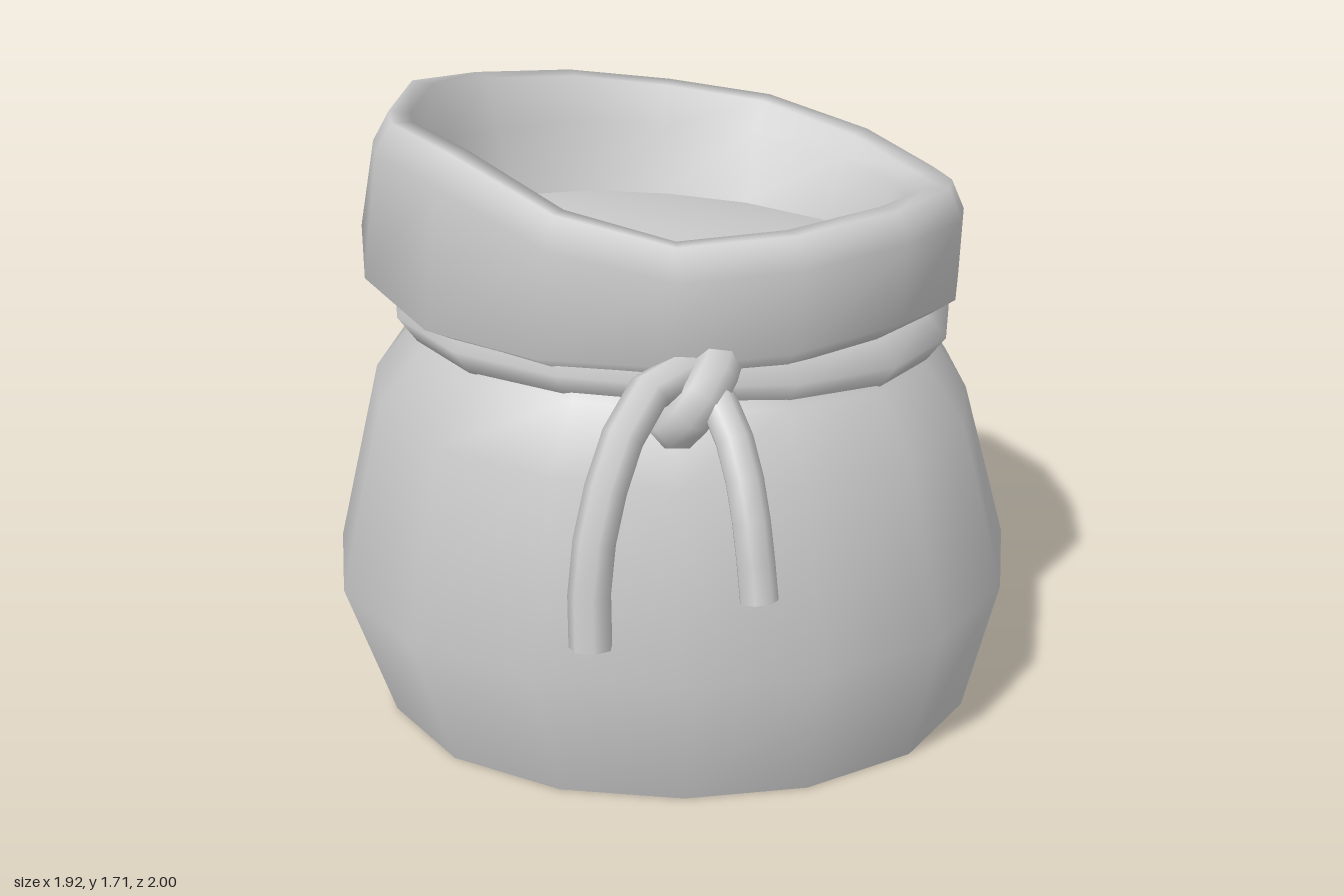
import * as THREE from 'three';

const SIDES = 16;
const mat = new THREE.MeshStandardMaterial({ color: 0xcccccc });
const matDouble = new THREE.MeshStandardMaterial({ color: 0xcccccc, side: THREE.DoubleSide });

// Around the sack, starting at the back and turning towards +x:
// fullness of the outline, height of the cuff's rim and of its hem.
const FULL = [1, 1.03, 1.08, 1.06, 1, 1.02, 1.035, 1.02, 1.005, 1.02, 1.04, 1.03, 1, 1.03, 1.05, 1.02];
const RIM = [1.57, 1.53, 1.46, 1.42, 1.47, 1.53, 1.55, 1.535, 1.52, 1.59, 1.705, 1.715, 1.67, 1.68, 1.64, 1.61];
const HEM = [1.16, 1.14, 1.13, 1.14, 1.16, 1.19, 1.22, 1.20, 1.185, 1.19, 1.21, 1.26, 1.31, 1.29, 1.24, 1.19];

// Point on an oval ring.
function ringPoint(i, rx, rz, y, cx = 0, cz = -0.08) {
  const a = (i / SIDES) * Math.PI * 2;
  return new THREE.Vector3(cx + Math.sin(a) * rx * FULL[i], y, cz - Math.cos(a) * rz * FULL[i]);
}

// Skin over closed rings of points, with smooth normals.
function loft(rings, closeEnd) {
  const points = rings.flat();
  const index = [];
  for (let r = 0; r < rings.length - 1; r++) {
    for (let i = 0; i < SIDES; i++) {
      const j = (i + 1) % SIDES;
      const a = r * SIDES + i, b = r * SIDES + j;
      index.push(a, a + SIDES, b, b, a + SIDES, b + SIDES);
    }
  }
  if (closeEnd) {
    const start = (rings.length - 1) * SIDES;
    points.push(closeEnd);
    for (let i = 0; i < SIDES; i++) index.push(start + i, points.length - 1, start + (i + 1) % SIDES);
  }
  const geo = new THREE.BufferGeometry().setFromPoints(points);
  geo.setIndex(index);
  geo.computeVertexNormals();
  return geo;
}

function ring(fn) {
  return Array.from({ length: SIDES }, (_, i) => fn(i));
}

// The neck leans down towards +x and the back.
const lean = (p) => -0.045 * p.x + 0.03 * (p.z + 0.08);

export function createModel() {
  const model = new THREE.Group();
  const add = (name, geo, material = mat) => {
    const mesh = new THREE.Mesh(geo, material);
    mesh.name = name;
    model.add(mesh);
    return mesh;
  };

  // Bulging sack: [y, rx, rz, centre x, lean amount]
  const sack = [
    [0, 0.85, 0.80, 0.02, 0],
    [0.4, 0.96, 0.92, 0, 0],
    [0.89, 0.835, 0.825, 0, 1],
    [1.06, 0.71, 0.73, 0.01, 1],
    [1.14, 0.66, 0.67, 0, 1],
    [1.22, 0.66, 0.66, 0, 1],
  ].map(([y, rx, rz, cx, k]) => ring((i) => {
    const p = ringPoint(i, rx, rz, y, cx);
    p.y += k * lean(p);
    return p;
  }));
  add('sackBody', loft(sack), matDouble);

  // Flat base with a sharp edge
  const base = new THREE.Shape(sack[0].map((p) => new THREE.Vector2(p.x, p.z)));
  add('sackBase', new THREE.ShapeGeometry(base).rotateX(Math.PI / 2));

  // Filling inside the mouth: domed and tilted down towards +x
  const fillRing = (r, y) => ring((i) => {
    const p = ringPoint(i, r, r * 0.925, y, -0.01, -0.105);
    p.y -= 0.09 * p.x;
    return p;
  });
  const fillEdge = fillRing(0.6, 1.25);
  add('filling', loft([fillEdge, fillRing(0.35, 1.305)], new THREE.Vector3(-0.01, 1.325, -0.105)), matDouble);

  // Folded cuff: hem tucked under, outer wall, rim, inner wall
  const cx = -0.03, cz = -0.1;
  const cuff = [
    ring((i) => ringPoint(i, 0.66, 0.67, HEM[i] - 0.02)),
    ring((i) => ringPoint(i, 0.71, 0.71, HEM[i] - 0.03, 0, -0.09)),
    ring((i) => ringPoint(i, 0.83, 0.77, HEM[i] + 0.025, cx, cz)),
    ring((i) => ringPoint(i, 0.81, 0.765, RIM[i] - 0.09, -0.005, -0.09)),
    ring((i) => ringPoint(i, 0.77, 0.735, RIM[i] - 0.01, 0, cz)),
    ring((i) => ringPoint(i, 0.71, 0.67, RIM[i] - 0.015, 0, cz)),
    ring((i) => ringPoint(i, 0.67, 0.63, RIM[i] * 0.5 + 0.66, -0.01, cz)),
    fillEdge,
  ];
  add('foldedCuff', loft(cuff), matDouble);

  // Cord around the neck, with a pointed outer ridge
  const section = [[0.63, 0.08], [0.63, -0.085], [0.725, -0.07], [0.775, 0], [0.705, 0.08], [0.63, 0.08]];
  const cord = section.map(([r, h]) => ring((i) => {
    const p = ringPoint(i, r, r - 0.025, 1.135 + h);
    p.y += lean(p);
    return p;
  }));
  add('neckCord', loft(cord), matDouble);

  // Knot and hanging cord ends, capped at both ends
  const strand = (name, pts, radius, segments) => {
    const curve = new THREE.CatmullRomCurve3(pts.map((p) => new THREE.Vector3(...p)));
    add(name, new THREE.TubeGeometry(curve, segments, radius, 7));
    for (const [t, s] of [[0, -1], [1, 1]]) {
      const cap = add(name + 'Cap', new THREE.CircleGeometry(radius, 7));
      cap.position.copy(curve.getPoint(t));
      cap.quaternion.setFromUnitVectors(new THREE.Vector3(0, 0, 1), curve.getTangent(t).multiplyScalar(s));
    }
  };
  strand('longCordEnd', [[0.03, 1.19, 0.64], [-0.05, 1.18, 0.71], [-0.13, 1.08, 0.80], [-0.19, 0.9, 0.88], [-0.215, 0.74, 0.92], [-0.215, 0.575, 0.945]], 0.056, 6);
  strand('shortCordEnd', [[0.03, 1.16, 0.64], [0.1, 1.13, 0.70], [0.15, 1.02, 0.78], [0.18, 0.87, 0.85], [0.2, 0.675, 0.9]], 0.05, 6);
  strand('knot', [[0.1, 1.2, 0.62], [0.085, 1.18, 0.68], [0.045, 1.12, 0.71], [0.0, 1.06, 0.69], [-0.01, 1.04, 0.64]], 0.065, 5);

  return model;
}
